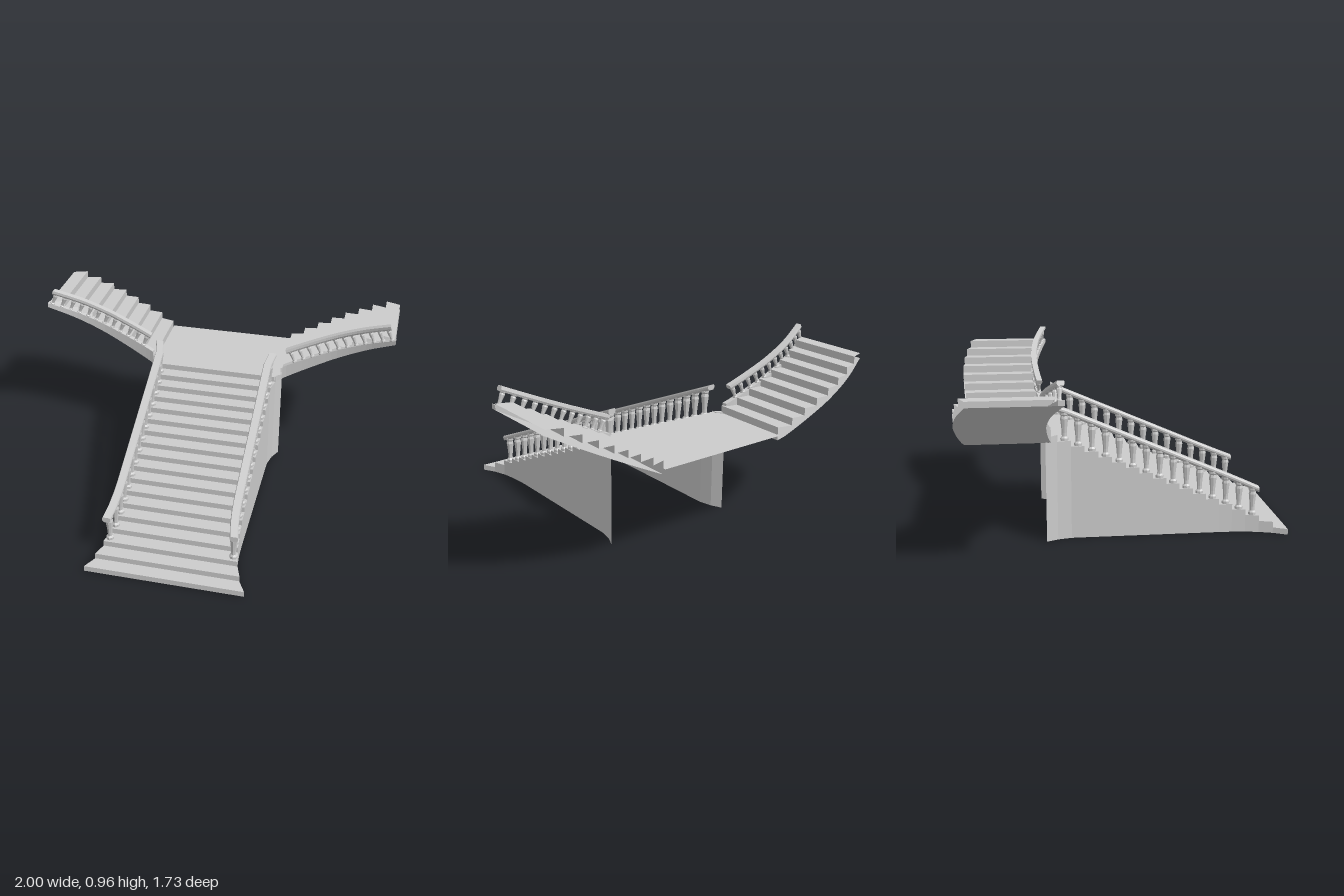
import * as THREE from 'three';

const material = new THREE.MeshStandardMaterial({ color: 0xcccccc, flatShading: true, side: THREE.DoubleSide });
const RISE = 0.56 / 18, RUN = 0.0717, FRONT = 0.86, LANDING = 0.56;
const WING_X = 0.372, WING_RUN = 0.0778, WING_RISE = 0.04, WING_DEPTH = 0.44;

// Joins successive rows of points into a surface.
function loft(rows, closed = false) {
  const pos = [];
  for (let i = 0; i + 1 < rows.length; i++) {
    const a = rows[i], b = rows[i + 1], n = a.length;
    for (let j = 0; j < (closed ? n : n - 1); j++) {
      const k = (j + 1) % n;
      pos.push(...a[j], ...b[j], ...b[k], ...a[j], ...b[k], ...a[k]);
    }
  }
  const geometry = new THREE.BufferGeometry();
  geometry.setAttribute('position', new THREE.Float32BufferAttribute(pos, 3));
  geometry.computeVertexNormals();
  return geometry;
}

// Solid bar: closed cross-sections with both ends capped.
function bar(sections) {
  const collapse = s => s.map(() => [0, 1, 2].map(c => s.reduce((t, p) => t + p[c], 0) / s.length));
  return loft([collapse(sections[0]), ...sections, collapse(sections.at(-1))], true);
}

function add(parent, name, geometry) {
  const mesh = new THREE.Mesh(geometry, material);
  mesh.name = name;
  parent.add(mesh);
  return mesh;
}

// Linear interpolation through [key, value] pairs in rising key order.
function lookup(table, t) {
  let i = 1;
  while (i < table.length - 1 && t > table[i][0]) i++;
  const [a, va] = table[i - 1], [b, vb] = table[i];
  return va + (vb - va) * (t - a) / (b - a);
}
const range = (a, b, n) => Array.from({ length: n + 1 }, (_, i) => a + (b - a) * i / n);

// Half width of the main flight along z: flared at both ends.
const halfWidth = z => lookup([[-0.42, 0.38], [-0.36, 0.352], [-0.285, 0.335], [0.5, 0.335], [0.57, 0.337],
  [0.64, 0.343], [0.715, 0.357], [0.785, 0.38], [0.86, 0.42]], z);

// Front edge of a wing in plan.
const wingCurve = new THREE.SplineCurve([[0.345, -0.355], [0.38, -0.39], [0.45, -0.406], [0.57, -0.42], [0.7, -0.425],
  [0.85, -0.405], [1, -0.355]].map(p => new THREE.Vector2(...p)));
const wingTable = wingCurve.getPoints(60).map(p => [p.x, p.y]);
const wingFront = x => lookup(wingTable, x);
const soffitY = x => LANDING - 0.03 + Math.max(0, x - WING_X) * 0.514;
const curbY = x => 0.62 + (x - 0.4) * 0.43;

// Turned baluster, wider towards the top.
function baluster(parent, x, y, z, height, scale, lean) {
  const profile = [[0, 0], [0.021, 0], [0.021, 0.09], [0.013, 0.15], [0.013, 0.28], [0.016, 0.5],
    [0.021, 0.78], [0.017, 0.88], [0.022, 0.93], [0.022, 1], [0, 1]];
  const geometry = new THREE.LatheGeometry(profile.map(([r, t]) => new THREE.Vector2(r * scale, t * height)), 8);
  const mesh = add(parent, 'baluster', geometry);
  mesh.position.set(x, y, z);
  mesh.rotation.z = lean;
}

// Side wall, handrail and balusters on one side of the main flight.
function mainSide() {
  const group = new THREE.Group();
  const wall = [];
  for (let i = 0; i < 17; i++) {
    for (const z of [FRONT - i * RUN, FRONT - (i + 1) * RUN]) wall.push([[halfWidth(z), 0, z], [halfWidth(z), RISE * (i + 1), z]]);
  }
  for (const z of [-0.36, -0.42]) wall.push([[halfWidth(z), 0, z], [halfWidth(z), LANDING, z]]);
  add(group, 'sideWall', loft(wall));

  const railTop = z => 0.25 + (0.715 - z) * RISE / RUN;
  add(group, 'handrail', bar(range(0.715, -0.358, 15).map(z => {
    const w = halfWidth(z), y = railTop(z);
    return [[w, y - 0.008, z], [w - 0.004, y, z], [w - 0.04, y, z], [w - 0.044, y - 0.008, z],
      [w - 0.044, y - 0.018, z], [w - 0.037, y - 0.03, z], [w - 0.007, y - 0.03, z], [w, y - 0.018, z]];
  })));
  for (let i = 2; i < 17; i++) {
    const z = FRONT - (i + 0.45) * RUN, y = RISE * (i + 1);
    baluster(group, halfWidth(z) - 0.022, y, z, railTop(z) - 0.022 - y, 1, 0);
  }
  return group;
}

// Curved side flight with soffit, curb and balustrade.
function wing() {
  const group = new THREE.Group();
  const steps = [];
  const edge = (x, y) => [[x, y, wingFront(x) - 0.015], [x, y, wingFront(x) - WING_DEPTH]];
  steps.push(edge(WING_X, LANDING));
  for (let i = 0; i < 8; i++) {
    const y = LANDING + (i + 1) * WING_RISE;
    steps.push(edge(WING_X + i * WING_RUN, y), edge(WING_X + (i + 1) * WING_RUN, y));
  }
  add(group, 'wingSteps', loft(steps));

  add(group, 'wingSoffit', loft([edge(WING_X, LANDING), ...range(WING_X, 0.998, 20).map(x => edge(x, soffitY(x)))]));

  // Curb below the balusters, wrapping round the landing corner.
  const curb = [0.345, 0.36, 0.38, 0.385, 0.405, ...range(0.43, 1, 18)];
  add(group, 'wingCurb', bar(curb.map(x => {
    const z = wingFront(x), low = soffitY(x), high = x < 0.383 ? LANDING + 0.004 : curbY(x);
    return [[x, low, z], [x, high, z], [x, high, z - 0.03], [x, low, z - 0.03]];
  })));

  // The balustrade leans square to the slope.
  const lean = Math.atan(0.43), nx = -Math.sin(lean), ny = Math.cos(lean);
  add(group, 'wingHandrail', bar(range(0.43, 0.998, 18).map(x => {
    const z = wingFront(x), p = (d, out) => [x + nx * d, curbY(x) + ny * d, z + out];
    return [p(0.066, -0.002), p(0.076, 0.003), p(0.09, 0.001), p(0.09, -0.031), p(0.076, -0.033), p(0.066, -0.028)];
  })));
  for (const x of range(0.45, 0.98, 11)) baluster(group, x, curbY(x) - 0.003, wingFront(x) - 0.015, 0.073, 0.66, lean);
  return group;
}

export function createModel() {
  const model = new THREE.Group();
  model.name = 'grandStaircase';

  // Treads and risers of the main flight.
  const rows = [];
  const across = (z, y) => [[-halfWidth(z), y, z], [halfWidth(z), y, z]];
  for (let i = 0; i < 18; i++) {
    const z = FRONT - i * RUN;
    rows.push(across(z, i * RISE), across(z, (i + 1) * RISE));
  }
  add(model, 'mainSteps', loft(rows));

  // Landing, following the flared corners.
  const back = -0.84, z0 = FRONT - 17 * RUN;
  add(model, 'landing', loft([across(z0, LANDING), across(-0.395, LANDING),
    ...[-0.405, back].map(z => [[-WING_X, LANDING, z], [WING_X, LANDING, z]])]));

  for (const side of [1, -1]) {
    const half = new THREE.Group();
    half.name = side > 0 ? 'leftSide' : 'rightSide';
    const balustrade = mainSide(), flight = wing();
    balustrade.name = 'mainBalustrade';
    flight.name = 'wingFlight';
    half.add(balustrade, flight);
    half.scale.x = side;
    model.add(half);
  }
  return model;
}
